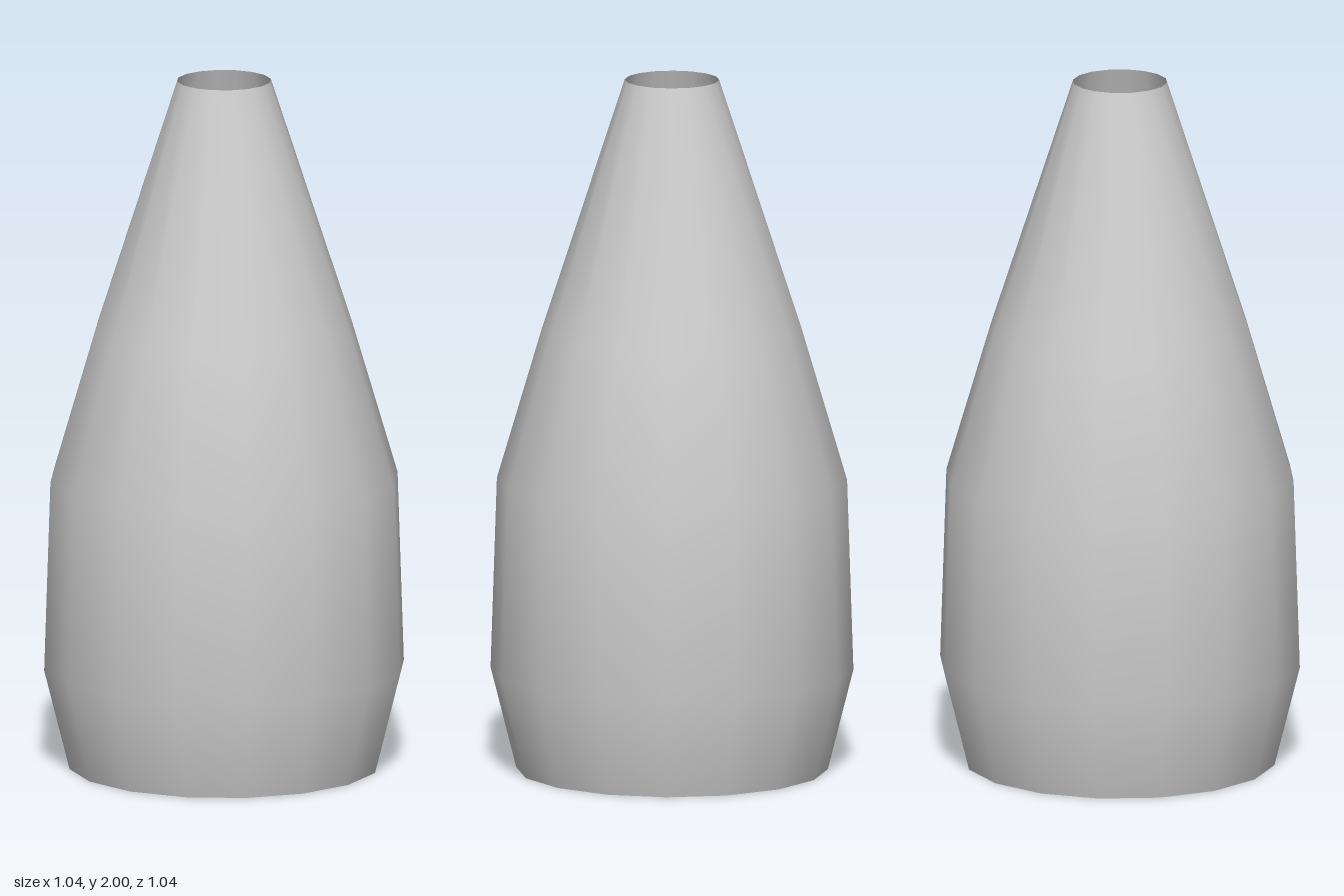
import * as THREE from 'three';

const SIDES = 16;

export function createModel() {
  const group = new THREE.Group();
  group.name = 'bottleVase';
  const material = new THREE.MeshStandardMaterial({ color: 0xcccccc, side: THREE.DoubleSide });

  // Thin open-topped wall, turned from a radius/height profile
  const profile = [[0.445, 0], [0.518, 0.29], [0.5, 0.84], [0.37, 1.28], [0.135, 2]]
    .map(([r, y]) => new THREE.Vector2(r, y));
  const wall = new THREE.Mesh(new THREE.LatheGeometry(profile, SIDES), material);
  wall.name = 'wall';

  // Flat floor with a sharp edge against the wall
  const floor = new THREE.Mesh(new THREE.CircleGeometry(profile[0].x, SIDES).rotateX(Math.PI / 2), material);
  floor.name = 'floor';

  group.add(wall, floor);
  return group;
}
